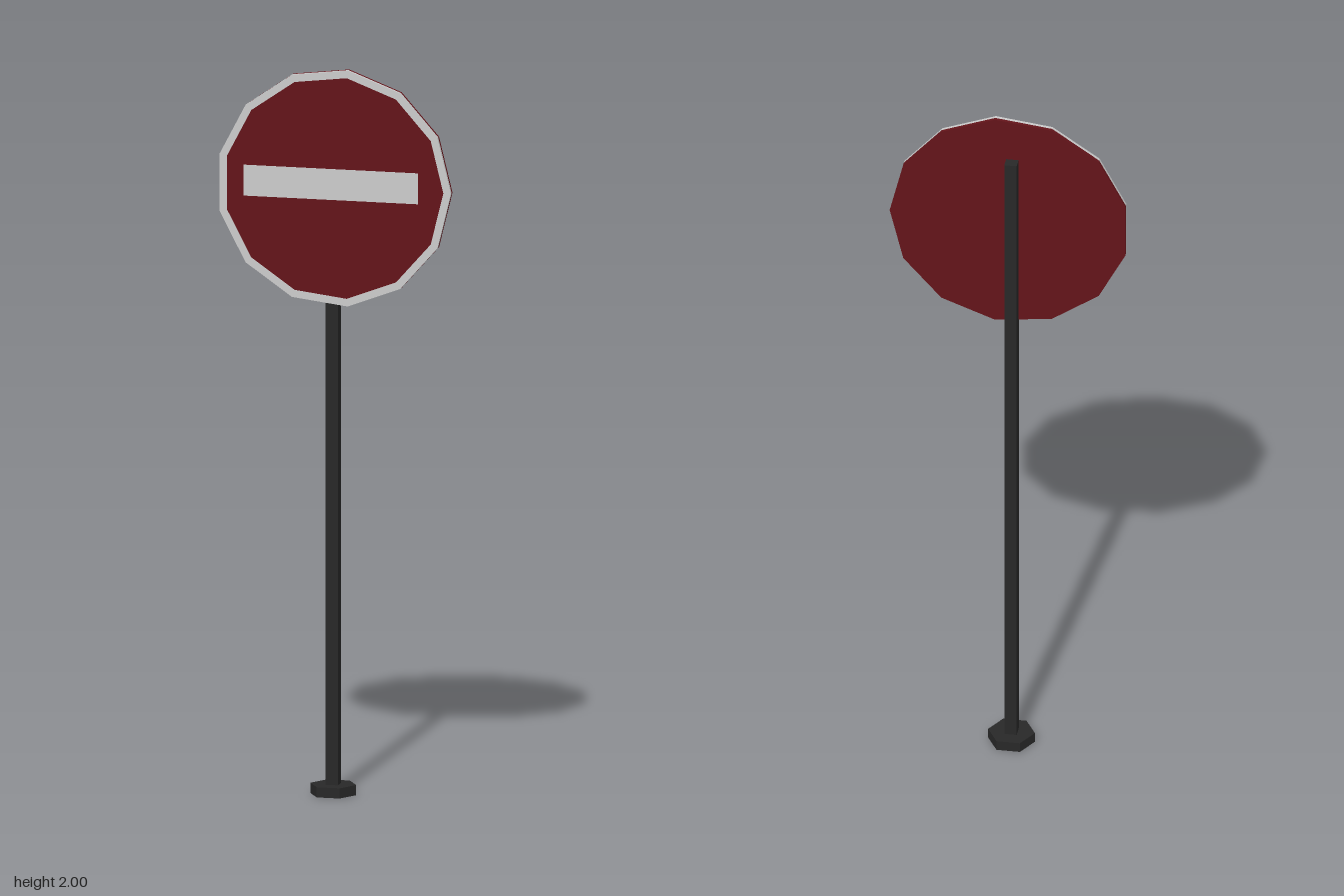
import * as THREE from 'three';

const SIDES = 13, RADIUS = 0.327, INNER = 0.306;
const SIGN_X = -0.005, SIGN_Y = 1.675, POST_X = -0.0135;

// Regular polygon outline with one corner pointing to +x
function polygon(radius, Type = THREE.Shape) {
  const points = [];
  for (let i = 0; i < SIDES; i++) {
    const a = (i / SIDES) * Math.PI * 2;
    points.push(new THREE.Vector2(Math.cos(a) * radius, Math.sin(a) * radius));
  }
  return new Type(points);
}

function plate(shape, depth) {
  return new THREE.ExtrudeGeometry(shape, { depth, bevelEnabled: false });
}

export function createModel() {
  const group = new THREE.Group();
  const material = (color) => new THREE.MeshStandardMaterial({ color, flatShading: true });
  const black = material(0x282828), red = material(0x64141a), grey = material(0xcccccc);

  function add(name, geometry, mat, x, y, z) {
    const mesh = new THREE.Mesh(geometry, mat);
    mesh.name = name;
    mesh.position.set(x, y, z);
    group.add(mesh);
    return mesh;
  }

  // Hexagonal foot with corners on the x axis
  const foot = add('base', new THREE.CylinderGeometry(0.064, 0.064, 0.028, 6), black, POST_X, 0.014, 0);
  foot.rotation.y = Math.PI / 6;

  // Square post
  add('post', new THREE.BoxGeometry(0.034, 1.85, 0.034), black, POST_X, 0.95, 0);

  // Backing plate, raised rim, and the face filling the rim
  add('signBack', plate(polygon(RADIUS), 0.009), red, SIGN_X, SIGN_Y, 0.013);
  const ring = polygon(RADIUS);
  ring.holes.push(polygon(INNER, THREE.Path));
  add('signRim', plate(ring, 0.009), grey, SIGN_X, SIGN_Y, 0.022);
  add('signFace', plate(polygon(INNER), 0.008), red, SIGN_X, SIGN_Y, 0.022);

  // Horizontal bar across the face
  add('signBar', new THREE.BoxGeometry(0.486, 0.085, 0.004), grey, -0.0125, 1.684, 0.029);

  return group;
}
